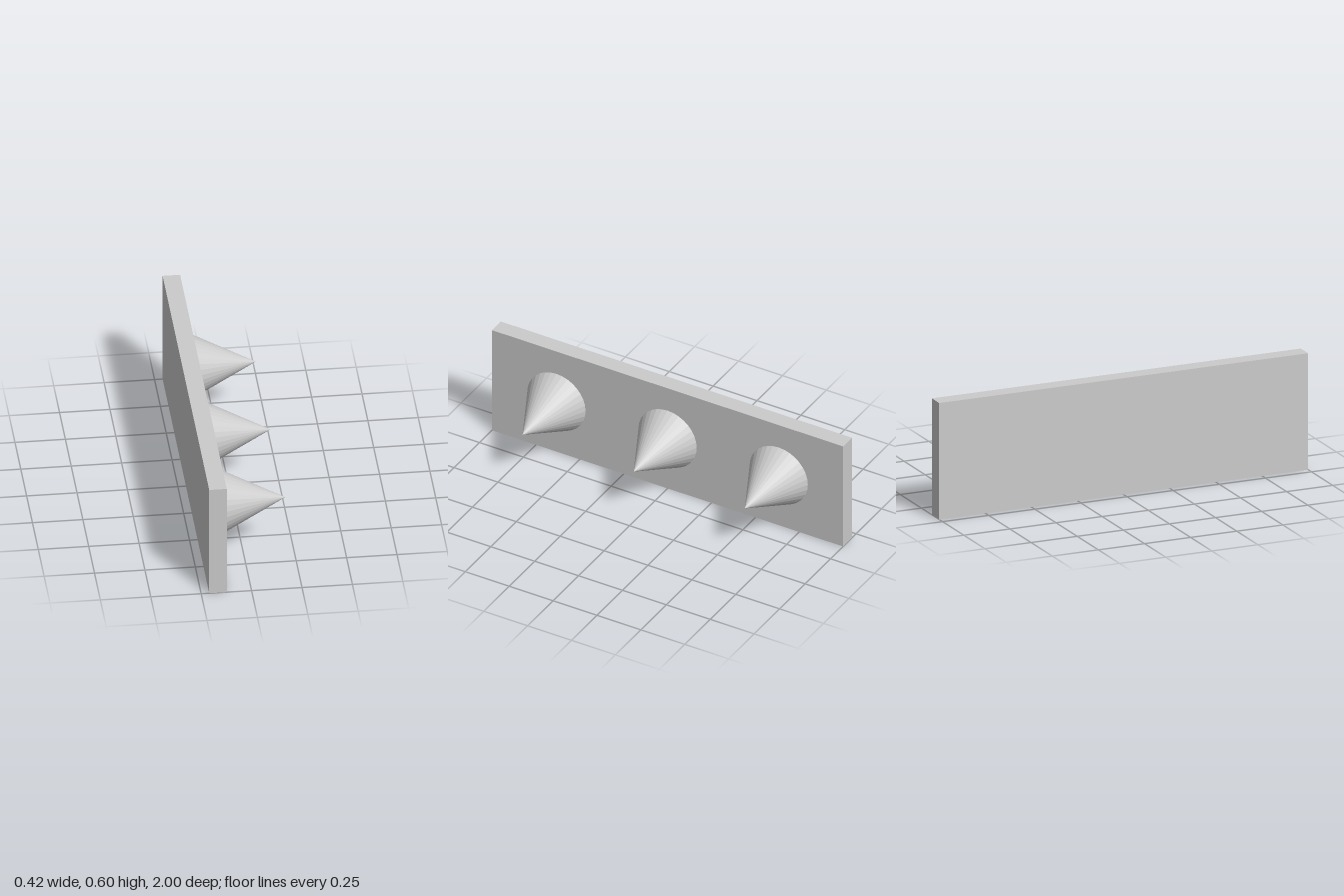
import * as THREE from 'three';

export function createModel() {
  const group = new THREE.Group();
  const plateMaterial = new THREE.MeshStandardMaterial({ color: 0xcccccc });
  const spikeMaterial = new THREE.MeshStandardMaterial({ color: 0xcccccc, flatShading: true });

  // Upright backing plate
  const left = -0.21, face = -0.123, tip = 0.21, height = 0.6;
  const plate = new THREE.Mesh(new THREE.BoxGeometry(face - left, height, 2), plateMaterial);
  plate.name = 'backPlate';
  plate.position.set((left + face) / 2, height / 2, 0);
  group.add(plate);

  // Row of three conical spikes pointing to +x
  const spikeGeometry = new THREE.ConeGeometry(0.166, tip - face, 32);
  spikeGeometry.rotateZ(-Math.PI / 2);
  for (let i = -1; i <= 1; i++) {
    const spike = new THREE.Mesh(spikeGeometry, spikeMaterial);
    spike.name = `spike${i + 2}`;
    spike.position.set((face + tip) / 2, height / 2, i * 0.633);
    group.add(spike);
  }

  return group;
}
